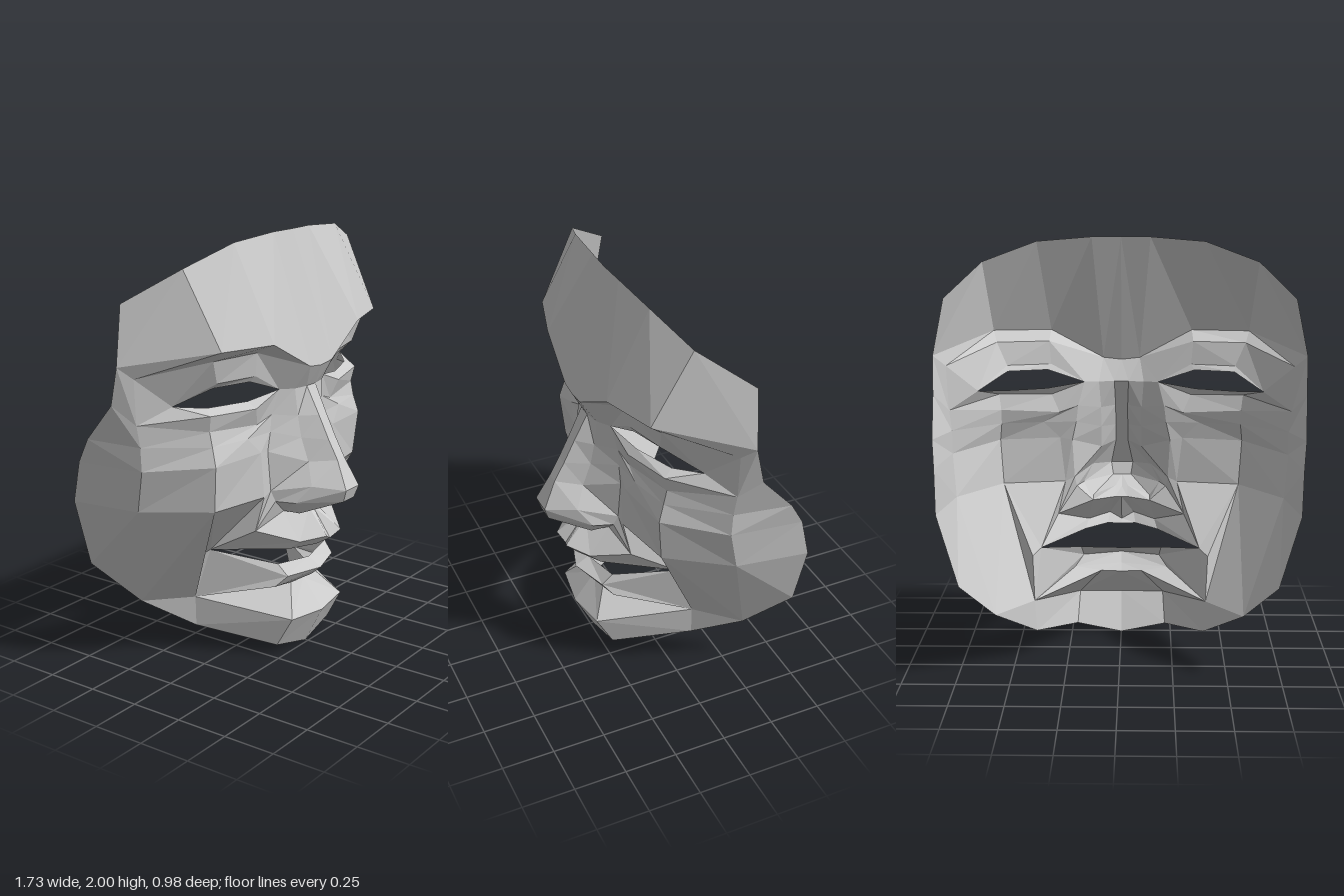
import * as THREE from 'three';

const material = new THREE.MeshStandardMaterial({ color: 0xcccccc, flatShading: true, side: THREE.DoubleSide });

// Skins consecutive rows of points (top to bottom, centre line outwards) and mirrors them to -x.
function part(name, ...strips) {
  const pos = [];
  const tri = (a, b, c) => {
    if (a === b || b === c || a === c) return;
    pos.push(...a, ...b, ...c);
    for (const [x, y, z] of [a, c, b]) pos.push(-x, y, z);
  };
  for (const rows of strips) {
    for (let r = 0; r + 1 < rows.length; r++) {
      const a = rows[r], b = rows[r + 1];
      for (let i = 0; i + 1 < a.length; i++) {
        tri(a[i], b[i], b[i + 1]);
        tri(a[i], b[i + 1], a[i + 1]);
      }
    }
  }
  const g = new THREE.BufferGeometry();
  g.setAttribute('position', new THREE.Float32BufferAttribute(pos, 3));
  g.computeVertexNormals();
  const mesh = new THREE.Mesh(g, material);
  mesh.name = name;
  return mesh;
}

export function createModel() {
  const group = new THREE.Group();
  group.name = 'faceMask';

  // Points shared by several parts
  const eyeInner = [0.18, 1.295, 0.2], eyeOuter = [0.675, 1.285, -0.02];
  const browEnd = [0.81, 1.42, -0.12];
  const mouthCorner = [0.38, 0.525, -0.05], lowCheek = [0.42, 0.495, -0.09];
  const chinCorner = [0.41, 0.28, -0.12];
  const smileFold = [0.31, 0.64, 0.16];
  const jawAngle = [0.725, 0.465, -0.49], jawLow = [0.58, 0.27, -0.31], jawFront = [0.4, 0.13, -0.125];
  const templeTop = [0.805, 1.74, -0.19], templeLow = [0.863, 1.475, -0.17];

  // Forehead, temples and brow
  const crown = [[0, 2, 0.145], [0.14, 2, 0.14], [0.4, 1.98, 0.115], [0.65, 1.89, 0.03]];
  const brow = [[0, 1.39, 0.31], [0.09, 1.4, 0.31], [0.345, 1.54, 0.29], [0.62, 1.545, 0.21]];
  const socketIn = [0.35, 1.495, 0.2], socketOut = [0.6, 1.495, 0.15];

  // Cheek rows, from the nose out to the side of the face
  const bag = [[0.21, 1.18, 0.18], [0.3, 1.15, 0.165], [0.58, 1.17, 0.11], [0.8, 1.21, -0.12]];
  const bone = [[0.22, 1.1, 0.18], [0.38, 1.1, 0.168], [0.58, 1.1, 0.125], [0.79, 1.11, -0.11]];
  const cheek = [[0.24, 1.01, 0.18], [0.3, 1.02, 0.185], [0.59, 1.015, 0.15], [0.79, 1, -0.105]];
  const low = [[0.23, 0.82, 0.19], [0.275, 0.8, 0.185], [0.575, 0.8, 0.13], [0.77, 0.8, -0.15]];

  // Nose rows, from the bridge down to the base
  const noseBase = [0.14, 0.7, 0.2];
  const nose = [
    [[0, 1.29, 0.255], [0.035, 1.29, 0.255], [0.11, 1.29, 0.24], eyeInner],
    [[0, 1.16, 0.32], [0.03, 1.16, 0.32], [0.1, 1.16, 0.25], bag[0]],
    [[0, 1.05, 0.375], [0.03, 1.05, 0.375], [0.1, 1.06, 0.27], bone[0]],
    [[0, 0.96, 0.425], [0.03, 0.96, 0.425], [0.1, 0.95, 0.31], cheek[0]],
    [[0, 0.83, 0.49], [0.055, 0.83, 0.49], [0.145, 0.85, 0.36], low[0]],
    [[0, 0.77, 0.47], [0.045, 0.77, 0.47], [0.19, 0.77, 0.3], [0.22, 0.77, 0.21]],
    [[0, 0.73, 0.37], [0.03, 0.735, 0.37], [0.14, 0.705, 0.29], noseBase],
    [[0, 0.7, 0.27], [0.03, 0.7, 0.27], noseBase, noseBase],
  ];

  group.add(
    part('forehead', [crown, brow]),
    part('temples', [[crown[3], templeTop], [brow[3], templeLow], [brow[3], browEnd]]),
    part('browUnderside', [
      [brow[0], brow[1], brow[1], brow[1], brow[2], brow[3], browEnd],
      [nose[0][0], nose[0][1], nose[0][2], eyeInner, socketIn, socketOut, browEnd],
    ]),
    part('nose', nose),
  );

  // Eyelids around the open eyes
  group.add(
    part('upperEyelids', [
      [eyeInner, socketIn, socketOut, browEnd],
      [eyeInner, [0.34, 1.385, 0.185], [0.55, 1.385, 0.13], eyeOuter],
      [eyeInner, [0.355, 1.36, 0.165], [0.545, 1.36, 0.105], eyeOuter],
    ], [[browEnd, browEnd], [eyeOuter, bag[3]]]),
    part('lowerEyelids', [
      [eyeInner, [0.36, 1.27, 0.155], [0.56, 1.27, 0.08], eyeOuter],
      [eyeInner, [0.34, 1.235, 0.188], [0.59, 1.245, 0.125], eyeOuter],
      bag,
    ]),
  );

  // Cheeks and the outer band along the rim
  group.add(
    part('cheeks', [bag, bone, cheek, low], [
      [low[1], low[2], low[2], low[2], low[3], low[3]],
      [mouthCorner, mouthCorner, lowCheek, chinCorner, jawLow, jawAngle],
    ], [[mouthCorner, lowCheek], [chinCorner, chinCorner]]),
    part('sideBand', [
      [templeLow, [0.86, 1.3, -0.21], [0.845, 1.12, -0.37], [0.83, 1, -0.44], [0.82, 0.8, -0.49], jawAngle],
      [browEnd, bag[3], bone[3], cheek[3], low[3], jawAngle],
    ]),
  );

  // Mouth
  const lip = [[0, 0.56, 0.37], [0.06, 0.59, 0.39], [0.165, 0.575, 0.31]];
  const base = nose[7];
  const crease = [[0, 0.325, 0.22], [0.1, 0.33, 0.215], chinCorner];
  group.add(
    part('philtrum', [
      [base[0], base[1], noseBase, nose[5][3], low[0], low[1], low[1]],
      [...lip, smileFold, smileFold, smileFold, mouthCorner],
    ]),
    part('upperLip', [
      [...lip, smileFold],
      [[0, 0.545, 0.33], [0.07, 0.545, 0.34], [0.18, 0.535, 0.26], mouthCorner],
    ]),
    part('lowerLip', [
      [[0, 0.44, 0.25], [0.2, 0.455, 0.21], mouthCorner],
      [[0, 0.4, 0.32], [0.19, 0.4, 0.26], mouthCorner],
      [[0, 0.355, 0.27], [0.23, 0.35, 0.215], chinCorner],
      crease,
    ]),
  );

  // Chin and jaw
  group.add(
    part('chin', [
      crease,
      [[0, 0.185, 0.33], [0.21, 0.195, 0.3], chinCorner],
      [[0, 0, 0.235], [0.22, 0.05, 0.22], jawFront],
    ]),
    part('jaw', [[chinCorner, jawLow], [jawFront, jawLow]]),
  );
  return group;
}
